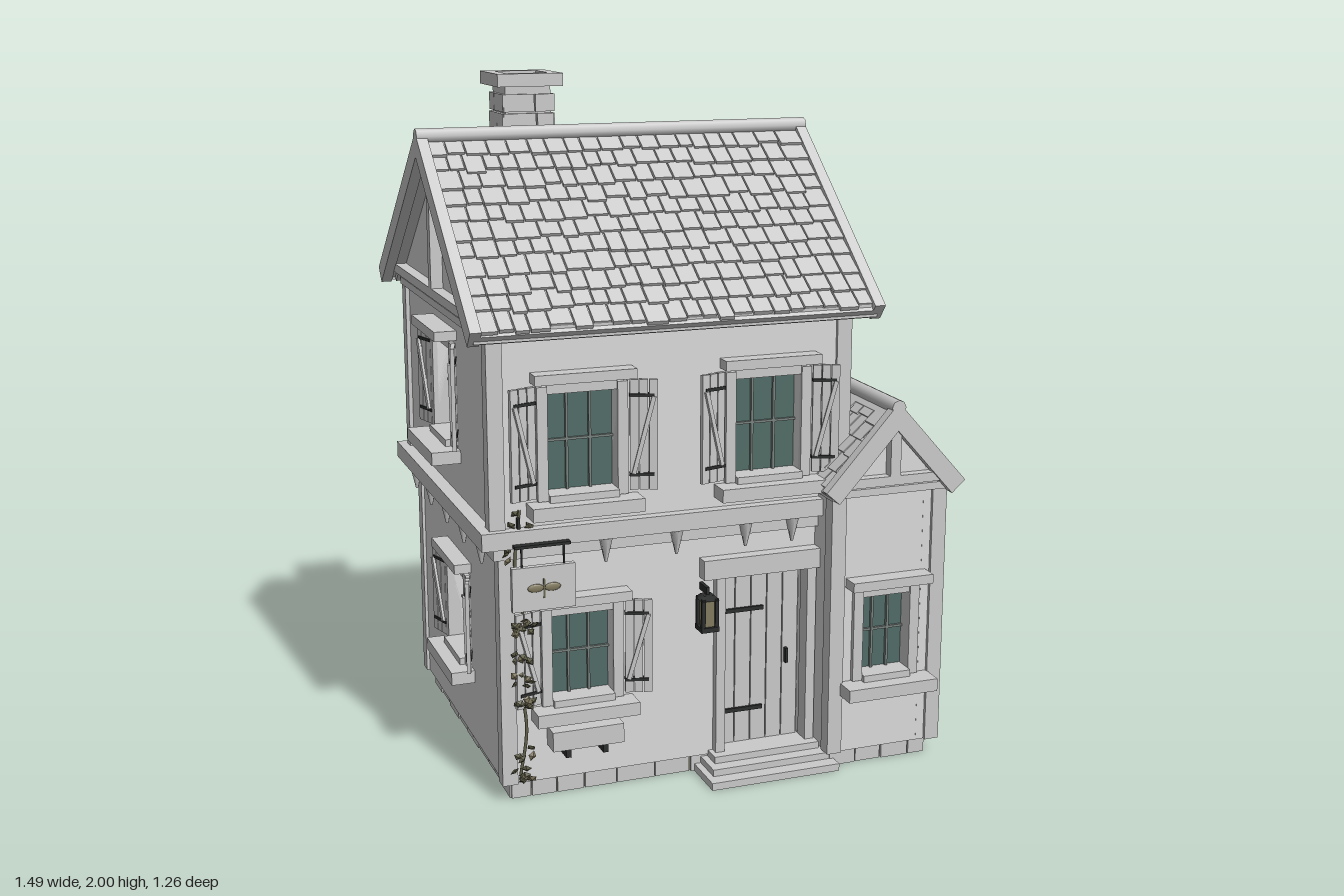
import * as THREE from 'three';
import { mergeGeometries } from 'three/addons/utils/BufferGeometryUtils.js';

const mat = (name, color) => Object.assign(new THREE.MeshStandardMaterial({ color }), { name });

export function createModel() {
  const M = {
    stone: mat('pale grey', 0xcacaca),
    plaster: mat('light plaster', 0xdadada),
    glass: mat('teal glass', 0x506b66),
    bar: mat('bar grey', 0x78827f),
    iron: mat('black iron', 0x2b2c2c),
    soot: mat('soot', 0x3c4444),
    leaf: mat('vine leaf', 0x66654e),
    amber: mat('lantern amber', 0x827a5f),
    earth: mat('earth underside', 0x8f8c78),
  };
  const root = new THREE.Group();
  let seed = 7;
  const rnd = () => (seed = (seed * 16807) % 2147483647) / 2147483647;

  const mesh = (parent, name, geo, material = M.stone, x = 0, y = 0, z = 0) => {
    const m = new THREE.Mesh(geo, material);
    m.name = name;
    m.position.set(x, y, z);
    parent.add(m);
    return m;
  };
  const group = (parent, name, x = 0, y = 0, z = 0, ry = 0) => {
    const g = new THREE.Group();
    g.name = name;
    g.position.set(x, y, z);
    g.rotation.y = ry;
    parent.add(g);
    return g;
  };
  // box given by its min and max corners
  const span = (parent, name, x0, x1, y0, y1, z0, z1, material) =>
    mesh(parent, name, new THREE.BoxGeometry(x1 - x0, y1 - y0, z1 - z0), material, (x0 + x1) / 2, (y0 + y1) / 2, (z0 + z1) / 2);
  const boxAt = (w, h, d, x, y, z) => new THREE.BoxGeometry(w, h, d).translate(x, y, z);

  // open shutter, hinged on its inner edge
  function shutter(parent, x, y0, y1, side, width) {
    const s = group(parent, 'shutter', x * side, 0, 0.008, -0.28 * side);
    s.scale.x = side;
    const h = y1 - y0, cy = (y0 + y1) / 2;
    for (let i = 0; i < 3; i++) mesh(s, 'shutterPlank', new THREE.BoxGeometry(width / 3 - 0.003, h, 0.012), M.stone, (i + 0.5) * width / 3, cy, 0);
    const brace = mesh(s, 'shutterBrace', new THREE.BoxGeometry(0.012, Math.hypot(h * 0.7, width * 0.7), 0.01), M.stone, width / 2, cy, 0.009);
    brace.rotation.z = -Math.atan2(width * 0.7, h * 0.7);
    for (const y of [y0 + h * 0.14, y1 - h * 0.14]) mesh(s, 'shutterHinge', new THREE.BoxGeometry(width * 0.85, 0.009, 0.018), M.iron, width * 0.43, y, 0);
  }

  // recessed window with frame, glazing bars, sill and lintel
  function windowUnit(parent, { x, y0, y1, w, shutters = 0.08, sill = 0.07, ends = 0.06 }) {
    const g = group(parent, 'window', x);
    const a = w / 2, j = w > 0.1 ? 0.03 : 0.016;
    mesh(g, 'glass', new THREE.PlaneGeometry(w + 0.01, y1 - y0 + 0.01), M.glass, 0, (y0 + y1) / 2, -0.04);
    for (const s of [-1, 1]) mesh(g, 'jamb', new THREE.BoxGeometry(j, y1 - y0 + 0.02, 0.065), M.stone, s * (a + j / 2), (y0 + y1) / 2, -0.018);
    span(g, 'frameHead', -a, a, y1 - 0.012, y1 + 0.02, -0.045, 0.01);
    const cols = w > 0.1 ? 3 : 2;
    for (let i = 1; i < cols; i++) mesh(g, 'glazingBar', new THREE.BoxGeometry(0.007, y1 - y0, 0.01), M.bar, -a + w * i / cols, (y0 + y1) / 2, -0.033);
    mesh(g, 'glazingBar', new THREE.BoxGeometry(w, 0.007, 0.008), M.bar, 0, (y0 + y1) / 2, -0.033);
    span(g, 'lintel', -a - ends + 0.015, a + ends - 0.015, y1 + 0.022, y1 + 0.05, -0.03, sill - 0.02);
    span(g, 'sill', -a - ends, a + ends, y0 - 0.05, y0 - 0.012, -0.04, sill);
    span(g, 'sillLedge', -a, a, y0 - 0.015, y0 + 0.008, -0.04, 0.03);
    if (shutters) for (const s of [-1, 1]) shutter(g, a + j + 0.005, y0, y1 + 0.012, s, shutters);
  }

  // wall panel with openings; local +z points outwards
  function wall(name, cx, cz, ry, width, y0, y1, windows = [], holes = []) {
    const g = group(root, name, cx, 0, cz, ry);
    const rect = (P, a, b, c, d) => {
      const p = new P();
      p.moveTo(a, c); p.lineTo(b, c); p.lineTo(b, d); p.lineTo(a, d); p.closePath();
      return p;
    };
    const shape = rect(THREE.Shape, -width / 2, width / 2, y0, y1);
    for (const w of windows) shape.holes.push(rect(THREE.Path, w.x - w.w / 2, w.x + w.w / 2, w.y0, w.y1));
    for (const h of holes) shape.holes.push(rect(THREE.Path, ...h));
    mesh(g, 'wallPanel', new THREE.ExtrudeGeometry(shape, { depth: 0.06, bevelEnabled: false }).translate(0, 0, -0.06), M.plaster);
    for (const w of windows) windowUnit(g, w);
  }
  const posts = (name, xs, zs, y0, y1) => {
    for (const x of xs) for (const z of zs) mesh(root, name, new THREE.BoxGeometry(0.045, y1 - y0, 0.045), M.stone, x, (y0 + y1) / 2, z);
  };
  const R = Math.PI / 2, cx = -0.135, cz = -0.045;

  // ground floor
  const low = { y0: 0.285, y1: 0.55, w: 0.2 };
  wall('groundFrontWall', cx, 0.44, 0, 1.0, 0.05, 0.74, [{ ...low, x: -0.27, w: 0.18 }], [[0.155, 0.415, 0.062, 0.6]]);
  wall('groundRightWall', 0.365, cz, R, 0.97, 0.05, 0.74);
  wall('groundBackWall', cx, -0.53, 2 * R, 1.0, 0.05, 0.74, [{ ...low, x: 0 }]);
  wall('groundLeftWall', -0.635, cz, -R, 0.97, 0.05, 0.74, [{ ...low, x: 0 }]);
  posts('groundCornerPost', [-0.622, 0.357], [-0.517, 0.427], 0.05, 0.74);

  // upper floor
  const up = { y0: 0.89, y1: 1.19, w: 0.2 }, high = { y0: 0.96, y1: 1.245, w: 0.2 };
  wall('upperFrontWall', cx, 0.46, 0, 1.05, 0.78, 1.37, [{ ...up, x: -0.27 }, { ...up, x: 0.28 }]);
  wall('upperRightWall', 0.39, cz, R, 1.0, 0.78, 1.37, [{ ...high, x: 0 }]);
  wall('upperBackWall', cx, -0.545, 2 * R, 1.05, 0.78, 1.37, [{ ...high, y1: 1.215, x: 0, sill: 0.09 }]);
  wall('upperLeftWall', -0.66, cz, -R, 1.0, 0.78, 1.37, [{ ...high, x: 0, sill: 0.085 }]);
  posts('upperCornerPost', [-0.65, 0.378], [-0.533, 0.447], 0.78, 1.37);

  // floor beam with corbels under it
  span(root, 'floorBeam', -0.70, 0.42, 0.76, 0.81, -0.582, 0.492);
  span(root, 'floorBeamLower', -0.66, 0.39, 0.72, 0.762, -0.55, 0.46);
  const corbel = (x, z, ry) => {
    const c = mesh(root, 'corbel', new THREE.CylinderGeometry(0.02, 0.004, 0.07, 6), M.stone, x, 0.722, z);
    c.rotation.y = ry;
  };
  for (const x of [-0.34, -0.13, 0.08, 0.225]) corbel(x, 0.466, 0);
  for (const x of [-0.55, -0.34, -0.13, 0.08, 0.28]) corbel(x, -0.557, 0);
  for (const z of [-0.45, -0.25, -0.045, 0.16, 0.36]) corbel(-0.668, z, R);
  corbel(0.398, -0.38, R);

  // side wing
  wall('wingFrontWall', 0.485, 0.555, 0, 0.35, 0.05, 0.88, [{ x: 0, y0: 0.28, y1: 0.535, w: 0.15, shutters: 0, sill: 0.075, ends: 0.067 }]);
  wall('wingRightWall', 0.66, 0.163, R, 0.785, 0.05, 0.88, [{ ...low, x: 0, sill: 0.08 }]);
  wall('wingBackWall', 0.485, -0.23, 2 * R, 0.35, 0.05, 0.88, [{ ...low, x: -0.04, w: 0.06, shutters: 0.05, ends: 0.03 }]);
  wall('wingLeftWall', 0.31, 0.48, -R, 0.15, 0.05, 0.88);
  posts('wingCornerPost', [0.328, 0.648], [0.543], 0.05, 0.86);
  posts('wingCornerPost', [0.648], [-0.217], 0.05, 0.86);

  // stone plinth made of uneven blocks
  function plinthRow(x0, z0, x1, z1) {
    const len = Math.hypot(x1 - x0, z1 - z0), geos = [];
    const g = group(root, 'plinthRow', x0, 0, z0, -Math.atan2(z1 - z0, x1 - x0));
    for (let p = 0; p < len - 0.01;) {
      let w = 0.06 + rnd() * 0.07;
      if (p + w > len - 0.04) w = len - p;
      const h = 0.055 + rnd() * 0.01;
      geos.push(boxAt(w - 0.004, h, 0.045 + rnd() * 0.01, p + w / 2, h / 2, 0));
      p += w;
    }
    mesh(g, 'plinthStones', mergeGeometries(geos));
  }
  plinthRow(-0.615, 0.405, 0.32, 0.405);
  plinthRow(0.325, 0.51, 0.64, 0.51);
  plinthRow(0.615, 0.53, 0.615, -0.205);
  plinthRow(0.34, -0.18, 0.635, -0.18);
  plinthRow(0.325, -0.19, 0.325, -0.505);
  plinthRow(-0.615, -0.48, 0.345, -0.48);
  plinthRow(-0.59, -0.5, -0.59, 0.425);
  plinthRow(0.35, 0.41, 0.35, 0.53);
  span(root, 'mainUnderside', -0.606, 0.342, 0, 0.052, -0.496, 0.422, M.earth);
  span(root, 'wingUnderside', 0.335, 0.63, 0.0, 0.052, -0.196, 0.527, M.earth);

  // tiled gable roof, ridge along local x, origin at the ridge
  function gableRoof(name, x, y, z, ry, length, half, rise, rows, tileW) {
    const roof = group(root, name, x, y, z, ry), S = Math.hypot(half, rise), rowH = (S - 0.02) / rows;
    for (const side of [0, Math.PI]) {
      const holder = group(roof, 'roofSide', 0, 0, 0, side);
      const slope = group(holder, 'roofSlope');
      const pitch = slope.rotation.x = Math.atan2(rise, half);
      mesh(slope, 'roofDeck', new THREE.BoxGeometry(length - 0.02, 0.03, S), M.stone, 0, -0.022, S / 2);
      const tiles = [];
      for (let r = 0; r < rows; r++) {
        const end = length / 2 - 0.03;
        for (let p = -end; p < end - 0.005;) {
          let w = tileW * (0.75 + rnd() * 0.5);
          if (p + w > end - tileW * 0.4) w = end - p;
          const d = rowH * (1.02 + rnd() * 0.3), tilt = 0.1 + rnd() * 0.04;
          tiles.push(new THREE.BoxGeometry(w - 0.005, 0.012, d).rotateX(-tilt)
            .translate(p + w / 2, -0.008 + tilt * d / 2, r * rowH + d / 2));
          p += w;
        }
      }
      mesh(slope, 'roofTiles', mergeGeometries(tiles));
      for (const s of [-1, 1]) mesh(slope, 'bargeBoard', new THREE.BoxGeometry(0.032, 0.055, S), M.stone, s * (length / 2 - 0.016), -0.015, S / 2);
      const fascia = mesh(slope, 'eaveBoard', new THREE.BoxGeometry(length - 0.03, 0.036, 0.022), M.stone, 0, -0.022, S - 0.015);
      fascia.rotation.x = -pitch;
      for (let i = 0, n = Math.round(length / 0.1); i < n; i++)
        mesh(slope, 'rafterEnd', new THREE.BoxGeometry(0.016, 0.02, 0.08), M.stone, -length / 2 + (i + 0.5) * length / n, -0.043, S - 0.06);
    }
    mesh(roof, 'ridgePole', new THREE.CylinderGeometry(0.022, 0.022, length, 8).rotateZ(R), M.stone, 0, 0.004, 0);
  }
  // gable end: wall, king post and tie beam; local +z outwards
  function gableEnd(name, x, z, ry, half, y0, ySide, yTop, out) {
    const g = group(root, name, x, 0, z, ry), s = new THREE.Shape();
    s.moveTo(-half, y0); s.lineTo(half, y0); s.lineTo(half, ySide); s.lineTo(0, yTop); s.lineTo(-half, ySide); s.closePath();
    mesh(g, 'gablePanel', new THREE.ExtrudeGeometry(s, { depth: 0.04, bevelEnabled: false }).translate(0, 0, -0.04), M.plaster);
    span(g, 'kingPost', -0.016, 0.016, ySide, yTop, -0.01, out);
    span(g, 'tieBeam', -half, half, ySide - 0.005, ySide + 0.022, -0.01, out);
    span(g, 'gableSill', -half, half, y0 - 0.01, y0 + 0.012, -0.01, 0.014);
  }
  gableRoof('mainRoof', -0.13, 1.828, cz, 0, 1.2, 0.575, 0.465, 11, 0.056);
  gableEnd('mainGableRight', 0.395, cz, R, 0.5, 1.34, 1.375, 1.79, 0.035);
  gableEnd('mainGableLeft', -0.665, cz, -R, 0.5, 1.34, 1.375, 1.79, 0.035);
  gableRoof('wingRoof', 0.49, 1.085, 0.17, R, 0.86, 0.21, 0.235, 5, 0.056);
  gableEnd('wingGableFront', 0.49, 0.56, 0, 0.18, 0.84, 0.865, 1.06, 0.03);
  gableEnd('wingGableBack', 0.49, -0.235, 2 * R, 0.18, 0.84, 0.865, 1.06, 0.02);

  // chimney of staggered bricks with a cap
  const ch = group(root, 'chimney', -0.385, 0, -0.155);
  span(ch, 'chimneyCore', -0.068, 0.068, 1.55, 1.965, -0.068, 0.068);
  const bricks = [];
  for (let i = 0; i < 7; i++) for (let k = 0; k < 4; k++) {
    const cut = -0.03 + rnd() * 0.06, h = 0.05, y = 1.585 + i * 0.055;
    for (const [a, b] of [[-0.077, cut], [cut, 0.077]])
      bricks.push(boxAt(b - a - 0.004, h, 0.016, (a + b) / 2, y, 0.069 + rnd() * 0.003).rotateY(k * R));
  }
  mesh(ch, 'chimneyBricks', mergeGeometries(bricks));
  for (const s of [-1, 1]) {
    span(ch, 'chimneyCap', -0.098, 0.098, 1.963, 2.0, s > 0 ? 0.063 : -0.098, s > 0 ? 0.098 : -0.063);
    span(ch, 'chimneyCap', s > 0 ? 0.063 : -0.098, s > 0 ? 0.098 : -0.063, 1.963, 2.0, -0.063, 0.063);
  }
  span(ch, 'flue', -0.064, 0.064, 1.96, 1.99, -0.064, 0.064, M.soot);

  // plank door, surround and steps
  const door = group(root, 'door', 0.15, 0, 0.44);
  for (let i = 0; i < 5; i++) span(door, 'doorPlank', -0.125 + i * 0.05, -0.078 + i * 0.05, 0.06, 0.6, -0.055, -0.03);
  span(door, 'doorBacking', -0.13, 0.13, 0.06, 0.6, -0.06, -0.045);
  for (const s of [-1, 1]) mesh(door, 'doorPost', new THREE.BoxGeometry(0.028, 0.55, 0.05), M.stone, s * 0.142, 0.33, 0);
  span(door, 'doorLintel', -0.2, 0.16, 0.6, 0.658, -0.03, 0.04);
  for (const y of [0.165, 0.475]) span(door, 'doorHinge', -0.11, 0.01, y - 0.006, y + 0.006, -0.032, -0.022, M.iron);
  span(door, 'doorHandle', 0.08, 0.088, 0.295, 0.34, -0.032, -0.015, M.iron);
  span(door, 'lowerStep', -0.21, 0.19, 0, 0.022, -0.015, 0.138);
  span(door, 'middleStep', -0.19, 0.18, 0.02, 0.042, -0.015, 0.095);
  span(door, 'upperStep', -0.17, 0.16, 0.04, 0.062, -0.05, 0.055);

  // flower box below the front window
  span(root, 'flowerBox', -0.51, -0.3, 0.155, 0.212, 0.44, 0.5);
  for (const x of [-0.46, -0.35]) span(root, 'flowerBoxBracket', x - 0.008, x + 0.008, 0.125, 0.157, 0.44, 0.485, M.iron);

  // wall lantern
  const lan = group(root, 'lantern', -0.045, 0.51, 0.49);
  mesh(lan, 'lanternGlass', new THREE.BoxGeometry(0.036, 0.08, 0.036), M.amber);
  for (const sx of [-1, 1]) for (const sz of [-1, 1]) mesh(lan, 'lanternBar', new THREE.BoxGeometry(0.011, 0.09, 0.011), M.iron, sx * 0.02, 0, sz * 0.02);
  mesh(lan, 'lanternBase', new THREE.BoxGeometry(0.054, 0.014, 0.054), M.iron, 0, -0.046, 0);
  mesh(lan, 'lanternRoof', new THREE.CylinderGeometry(0.022, 0.038, 0.014, 4).rotateY(R / 2), M.iron, 0, 0.047, 0);
  span(lan, 'lanternArm', -0.005, 0.005, 0.054, 0.075, -0.05, 0.004, M.iron);

  // hanging board with a plain sprig
  const sign = group(root, 'hangingBoard', -0.535, 0.65, 0.51);
  mesh(sign, 'board', new THREE.BoxGeometry(0.18, 0.125, 0.018));
  for (const s of [-1, 1]) {
    mesh(sign, 'sprigLeaf', new THREE.SphereGeometry(1, 10, 6).scale(0.024, 0.012, 0.004), M.amber, s * 0.024, 0.002, 0.01);
    mesh(sign, 'hanger', new THREE.BoxGeometry(0.005, 0.06, 0.005), M.iron, s * 0.06, 0.09, 0);
  }
  mesh(sign, 'sprigStem', new THREE.BoxGeometry(0.005, 0.055, 0.004), M.leaf, 0, 0, 0.01);
  span(sign, 'bracket', -0.08, 0.08, 0.115, 0.123, -0.05, 0.004, M.iron);
  span(sign, 'bracketPost', -0.06, -0.052, 0.11, 0.19, -0.05, -0.035, M.iron);

  // climbing vine at the front corner, with leaves in clusters
  const path = new THREE.CatmullRomCurve3([[-0.595, 0.08], [-0.575, 0.22], [-0.595, 0.4], [-0.58, 0.55], [-0.6, 0.7], [-0.585, 0.86]]
    .map(([x, y]) => new THREE.Vector3(x, y, 0.458)));
  mesh(root, 'vineStem', new THREE.TubeGeometry(path, 30, 0.005, 5), M.leaf);
  for (const [y, n] of [[0.1, 9], [0.17, 4], [0.3, 8], [0.37, 7], [0.44, 6], [0.53, 10], [0.74, 3], [0.83, 4]]) {
    const p = path.getPoint((y - 0.08) / 0.78);
    for (let i = 0; i < n; i++) {
      const l = mesh(root, 'vineLeaf', new THREE.OctahedronGeometry(0.016).scale(1, 0.8, 0.35), i % 4 ? M.leaf : M.amber,
        p.x + (rnd() - 0.5) * 0.06, p.y + (rnd() - 0.5) * 0.05, p.z + 0.008 + rnd() * 0.022);
      l.rotation.set(rnd(), rnd() - 0.5, rnd() * 3);
    }
  }
  return root;
}
